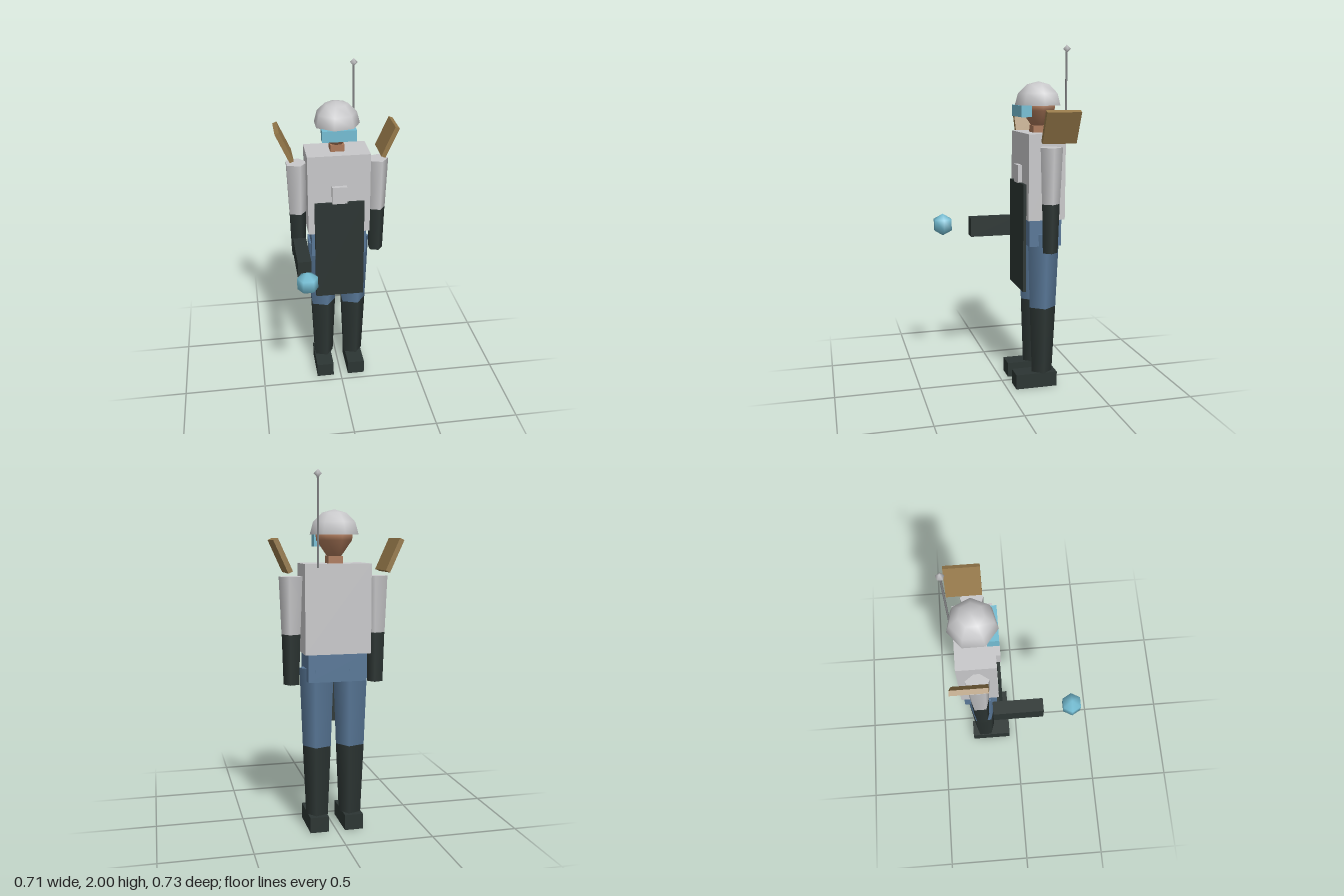
import * as THREE from 'three';

const mat = (name, color, side = THREE.FrontSide) => {
  const m = new THREE.MeshStandardMaterial({ color, side });
  m.name = name;
  return m;
};

export function createModel() {
  const group = new THREE.Group();
  const lightGrey = mat('light grey', 0xc8c8ca, THREE.DoubleSide);
  const rodGrey = mat('rod grey', 0x858688);
  const dark = mat('charcoal', 0x2c3533);
  const blue = mat('denim blue', 0x587797);
  const cyan = mat('visor cyan', 0x74bdd3);
  const skin = mat('skin', 0xac795a);
  const gold = mat('gold brown', 0x96794a);

  const Z = -0.216; // depth of the body axis

  const add = (name, geometry, material, x, y, z) => {
    const mesh = new THREE.Mesh(geometry, material);
    mesh.name = name;
    mesh.position.set(x, y, z);
    group.add(mesh);
    return mesh;
  };
  // box from its limits on each axis
  const box = (name, material, x0, x1, y0, y1, z0, z1) =>
    add(name, new THREE.BoxGeometry(x1 - x0, y1 - y0, z1 - z0), material,
      (x0 + x1) / 2, (y0 + y1) / 2, (z0 + z1) / 2);
  // five-sided tapered limb with one corner towards +x
  const limb = (name, material, x, y0, y1, r0, r1) => {
    const g = new THREE.CylinderGeometry(r1, r0, y1 - y0, 5).rotateY(Math.PI / 2);
    return add(name, g, material, x, (y0 + y1) / 2, Z);
  };

  // body
  box('torso', lightGrey, -0.184, 0.184, 1.02, 1.51, -0.324, -0.108);
  box('hips', blue, -0.165, 0.165, 0.865, 1.02, -0.31, -0.12);
  box('neck', skin, -0.041, 0.041, 1.5, 1.55, Z - 0.041, Z + 0.041);

  // limbs, the same on both sides
  for (const [side, s] of [['left', 1], ['right', -1]]) {
    limb(side + 'UpperLeg', blue, s * 0.096, 0.49, 0.935, 0.083, 0.1);
    limb(side + 'Boot', dark, s * 0.096, 0.085, 0.49, 0.065, 0.083);
    box(side + 'Foot', dark, s * 0.1 - 0.053, s * 0.1 + 0.053, 0, 0.088, -0.3, -0.05);
    limb(side + 'Sleeve', lightGrey, s * 0.24, 1.125, 1.44, 0.055, 0.068);
    limb(side + 'Glove', dark, s * 0.24, 0.845, 1.125, 0.046, 0.054);

    // shoulder plates lean outwards
    const plate = add(side + 'ShoulderPlate', new THREE.BoxGeometry(0.027, 0.191, 0.196),
      gold, s * 0.3055, 1.5545, -0.255);
    plate.rotation.z = -s * 0.425;
  }

  // head under the helmet
  const profile = [[0, 1.525], [0.036, 1.543], [0.1, 1.635], [0.105, 1.675], [0, 1.75]]
    .map(([r, y]) => new THREE.Vector2(r, y));
  add('head', new THREE.LatheGeometry(profile, 7).rotateY(Math.PI / 2), skin, 0, 0, Z);
  box('visor', cyan, -0.098, 0.098, 1.6, 1.665, -0.15, -0.087);
  const dome = new THREE.SphereGeometry(0.136, 7, 3, 0, Math.PI * 2, 0, Math.PI / 2);
  add('helmet', dome.rotateY(Math.PI), lightGrey, 0, 1.664, Z);

  // apron and its chest clip
  box('apron', dark, -0.147, 0.147, 0.595, 1.224, -0.105, -0.088);
  box('chestClip', lightGrey, -0.044, 0.044, 1.22, 1.324, -0.11, -0.083);

  // antenna
  add('antennaRod', new THREE.CylinderGeometry(0.006, 0.006, 0.49, 5), rodGrey, 0.118, 1.735, -0.343);
  add('antennaTip', new THREE.SphereGeometry(0.023, 5, 2).rotateY(Math.PI), lightGrey, 0.118, 1.978, -0.343);

  // hand-held block and the orb ahead of it
  box('handBlock', dark, -0.275, -0.197, 0.865, 0.98, -0.147, 0.145);
  add('orb', new THREE.SphereGeometry(0.067, 6, 3), cyan, -0.237, 0.943, 0.312);

  return group;
}
